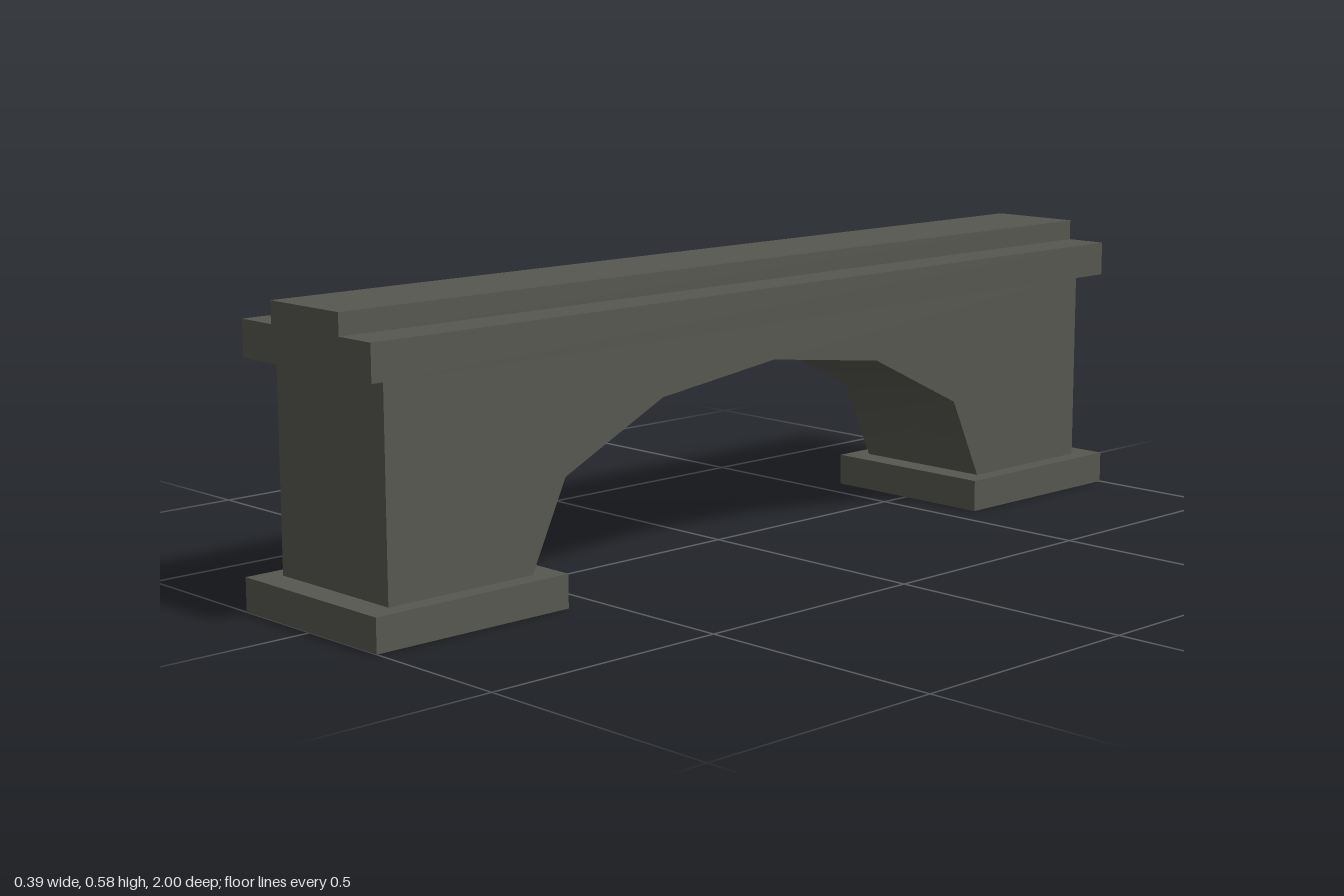
import * as THREE from 'three';
import { toCreasedNormals } from 'three/addons/utils/BufferGeometryUtils.js';

// Extrude a closed outline, centred along the extrusion axis
function extrudeOutline(points, depth) {
  const shape = new THREE.Shape(points.map(([x, y]) => new THREE.Vector2(x, y)));
  const geometry = new THREE.ExtrudeGeometry(shape, { depth, bevelEnabled: false });
  return geometry.translate(0, 0, -depth / 2);
}

export function createModel() {
  const bridge = new THREE.Group();
  bridge.name = 'archBridge';

  const stone = new THREE.MeshStandardMaterial({ color: 0x575751 });
  stone.name = 'darkStone';

  function addPart(name, geometry) {
    const mesh = new THREE.Mesh(geometry, stone);
    mesh.name = name;
    bridge.add(mesh);
    return mesh;
  }

  // Wall with the arched opening; the underside of the arch is shaded smoothly
  const archHalf = [[0.62, 0.065], [0.54, 0.234], [0.297, 0.35]];
  const arch = [
    ...archHalf.map(([z, y]) => [-z, y]),
    [0, 0.387],
    ...archHalf.slice().reverse(),
  ];
  const wallOutline = [
    [-0.945, 0.065], ...arch, [0.945, 0.065], [0.945, 0.465], [-0.945, 0.465],
  ];
  const wall = extrudeOutline(wallOutline, 0.312).rotateY(Math.PI / 2);
  addPart('archWall', toCreasedNormals(wall, Math.PI / 4));

  // Deck with the raised walkway along its middle
  const deckOutline = [
    [-0.188, 0.465], [0.188, 0.465], [0.188, 0.535], [0.099, 0.535],
    [0.099, 0.577], [-0.099, 0.577], [-0.099, 0.535], [-0.188, 0.535],
  ];
  addPart('deck', extrudeOutline(deckOutline, 1.986));

  // Footings under both piers
  for (const [name, side] of [['frontFooting', 1], ['backFooting', -1]]) {
    const footing = addPart(name, new THREE.BoxGeometry(0.387, 0.065, 0.432));
    footing.position.set(0, 0.0325, side * 0.784);
  }

  return bridge;
}
